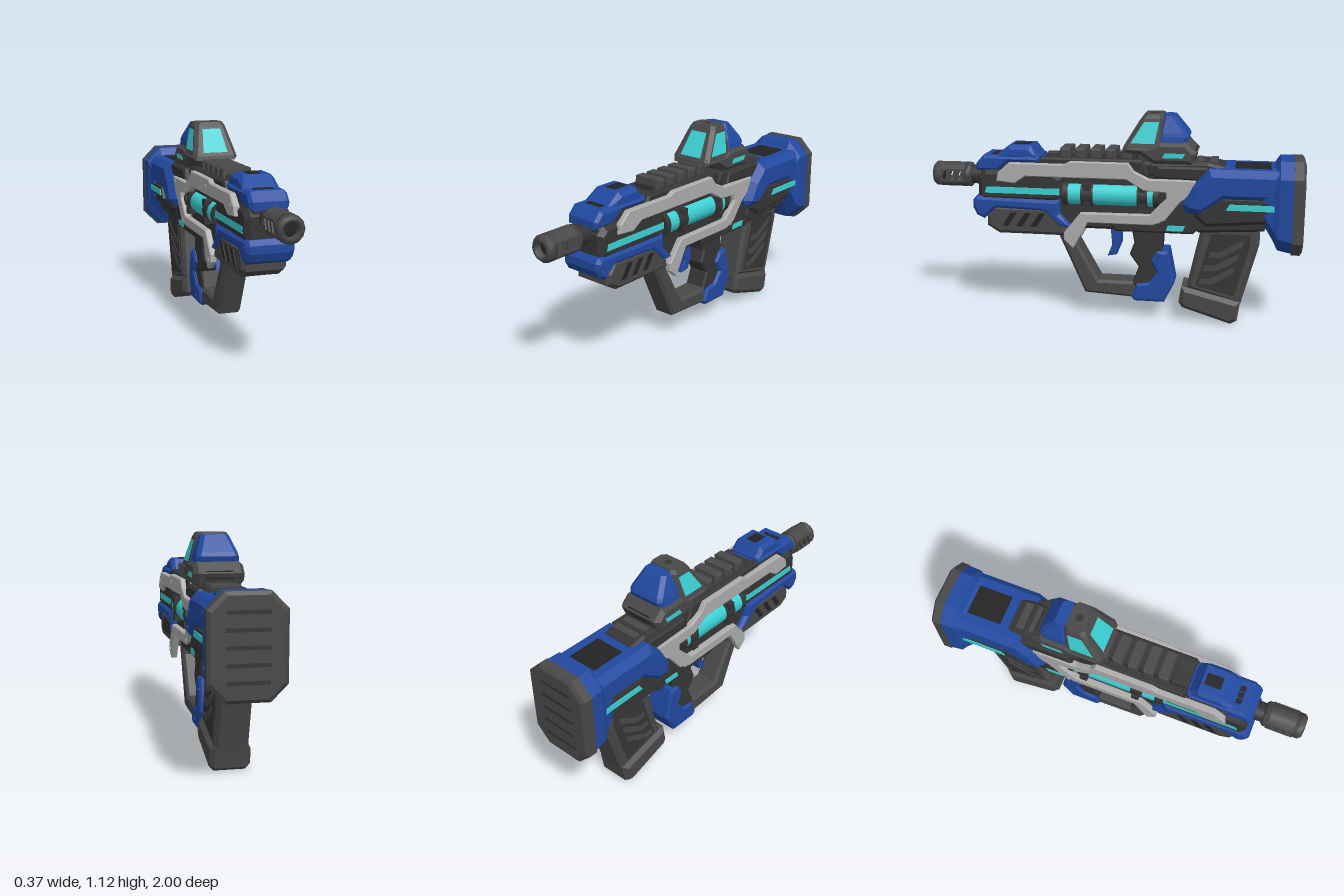
import * as THREE from 'three';

const mat = (name, hex, side = THREE.FrontSide) => {
  const m = new THREE.MeshStandardMaterial({ color: hex, side });
  m.name = name;
  return m;
};

export function createModel() {
  const blue = mat('blue', 0x2149a0), gun = mat('gunmetal', 0x484848, THREE.DoubleSide);
  const dark = mat('darkGrey', 0x353535), black = mat('black', 0x232323);
  const light = mat('lightGrey', 0xacacac), cyan = mat('cyan', 0x3cd0d4, THREE.DoubleSide);
  const root = new THREE.Group();
  root.name = 'toyBlaster';

  const add = (name, geo, m) => {
    const mesh = new THREE.Mesh(geo, m);
    mesh.name = name;
    root.add(mesh);
    return mesh;
  };
  const toPath = (pts, C = THREE.Shape) => new C(pts.map(p => new THREE.Vector2(p[0], p[1])));

  // Side outline of [z, y] points, extruded across x from x0 to x1 with chamfered edges
  const slab = (name, pts, x0, x1, m, bevel = 0.01, holes = []) => {
    const shape = toPath(pts);
    shape.holes = holes.map(h => toPath(h, THREE.Path));
    const geo = new THREE.ExtrudeGeometry(shape, {
      depth: x1 - x0 - 2 * bevel, bevelEnabled: bevel > 0, bevelThickness: bevel,
      bevelSize: bevel, bevelOffset: -bevel, bevelSegments: 1,
    });
    geo.rotateY(-Math.PI / 2).translate(x1 - bevel, 0, 0);
    return add(name, geo, m);
  };
  const centred = (name, pts, half, m, bevel) => slab(name, pts, -half, half, m, bevel);
  const paired = (name, pts, x0, x1, m, bevel, holes) => {
    slab(name + 'Left', pts, x0, x1, m, bevel, holes);
    slab(name + 'Right', pts, -x1, -x0, m, bevel, holes);
  };
  const rect = (z0, z1, y0, y1) => [[z0, y0], [z1, y0], [z1, y1], [z0, y1]];
  const slant = (z, y, w, h, s) => [[z, y], [z + w, y], [z + w + s, y + h], [z + s, y + h]];
  const box = (name, x0, x1, y0, y1, z0, z1, m) =>
    add(name, new THREE.BoxGeometry(x1 - x0, y1 - y0, z1 - z0)
      .translate((x0 + x1) / 2, (y0 + y1) / 2, (z0 + z1) / 2), m);

  // Chamfered rectangles [t, halfX, b0, b1, chamfer] joined along z or y
  const loft = (name, rings, axis, m) => {
    const pos = [], idx = [], n = 8;
    for (const [t, h, b0, b1, c] of rings) {
      const ring = [[h, b0 + c], [h, b1 - c], [h - c, b1], [c - h, b1],
        [-h, b1 - c], [-h, b0 + c], [c - h, b0], [h - c, b0]];
      for (const [a, b] of ring) pos.push(a, ...(axis === 'z' ? [b, t] : [t, b]));
    }
    const tri = (a, b, c) => (axis === 'z' ? idx.push(a, b, c) : idx.push(a, c, b));
    const last = (rings.length - 1) * n;
    for (let i = 0; i < last; i += n) for (let j = 0; j < n; j++) {
      const k = (j + 1) % n;
      tri(i + j, i + k, i + n + k);
      tri(i + j, i + n + k, i + n + j);
    }
    for (let j = 1; j < n - 1; j++) {
      tri(0, j + 1, j);
      tri(last, last + j, last + j + 1);
    }
    let g = new THREE.BufferGeometry();
    g.setAttribute('position', new THREE.Float32BufferAttribute(pos, 3));
    g.setIndex(idx);
    g = g.toNonIndexed();
    g.computeVertexNormals();
    return add(name, g, m);
  };
  const quad = (name, a, b, c, d, m) => {
    const g = new THREE.BufferGeometry();
    g.setAttribute('position', new THREE.Float32BufferAttribute([a, b, c, a, c, d].flat(), 3));
    g.computeVertexNormals();
    return add(name, g, m);
  };
  const rod = (name, r, x, y, z0, z1, m, seg = 16) =>
    add(name, new THREE.CylinderGeometry(r, r, z1 - z0, seg)
      .rotateX(Math.PI / 2).translate(x, y, (z0 + z1) / 2), m);

  // Barrel and slotted muzzle
  rod('barrelNeck', 0.052, 0, 0.76, 0.6, 0.815, dark, 12);
  const turned = (name, pts) => add(name, new THREE.LatheGeometry(
    pts.map(p => new THREE.Vector2(...p)), 12).rotateX(Math.PI / 2).translate(0, 0.76, 0), gun);
  turned('muzzleTip', [[0.038, 0.95], [0.068, 0.95], [0.068, 0.985], [0.055, 1], [0.038, 1], [0.038, 0.95]]);
  turned('muzzleCollar', [[0, 0.785], [0.056, 0.785], [0.068, 0.797], [0.068, 0.82], [0, 0.82]]);
  rod('bore', 0.042, 0, 0.76, 0.957, 0.965, black, 12);
  const arc = THREE.MathUtils.degToRad(64);
  [0, Math.PI].forEach((a, i) => add(i ? 'muzzleTop' : 'muzzleBottom',
    new THREE.CylinderGeometry(0.068, 0.068, 0.135, 6, 1, true, a - arc, 2 * arc)
      .rotateX(Math.PI / 2).translate(0, 0.76, 0.885), gun));
  paired('muzzleSide', rect(0.815, 0.955, 0.725, 0.795), 0.05, 0.064, gun, 0,
    [0, 1, 2].map(i => slant(0.91 - i * 0.043, 0.785, 0.022, -0.05, 0.018)));

  // Central body
  centred('bodyCore', [[0.72, 0.8], [0.66, 0.86], [0.25, 0.875], [-0.45, 0.87], [-0.5, 0.82],
    [-0.5, 0.55], [-0.42, 0.5], [0.28, 0.5], [0.35, 0.56], [0.72, 0.6]], 0.088, dark, 0.015);
  centred('frontHousing', [[0.73, 0.66], [0.73, 0.77], [0.69, 0.81], [0.3, 0.81], [0.27, 0.77],
    [0.27, 0.68], [0.3, 0.64], [0.7, 0.64]], 0.115, dark, 0.025);
  paired('rearHousing', [[-0.3, 0.72], [-0.44, 0.76], [-0.56, 0.7], [-0.5, 0.56], [-0.43, 0.5],
    [-0.02, 0.5], [0.02, 0.56], [-0.2, 0.58]], 0.08, 0.118, dark);
  paired('upperRail', [[0.4, 0.85], [0.38, 0.885], [-0.16, 0.885], [-0.2, 0.8], [-0.1, 0.79], [0.4, 0.79]],
    0.06, 0.108, dark);

  // Front upper shroud
  centred('upperShroud', [[0.74, 0.8], [0.74, 0.84], [0.7, 0.885], [0.39, 0.885], [0.39, 0.85],
    [0.56, 0.85], [0.62, 0.8]], 0.1, blue, 0.016);
  centred('shroudHump', [[0.65, 0.87], [0.56, 0.94], [0.44, 0.94], [0.385, 0.87]], 0.092, blue, 0.022);
  box('shroudVent', -0.032, 0.032, 0.936, 0.943, 0.455, 0.54, black);
  for (const x of [-0.035, 0, 0.035]) box('shroudSlot', x - 0.014, x + 0.014, 0.88, 0.889, 0.63, 0.66, black);

  // Front lower shroud and handguard
  centred('lowerShroud', [[0.76, 0.6], [0.76, 0.64], [0.74, 0.665], [0.28, 0.655], [0.28, 0.58],
    [0.21, 0.51], [0.29, 0.51], [0.37, 0.59], [0.63, 0.6], [0.7, 0.54], [0.74, 0.56]], 0.122, blue, 0.018);
  centred('handguard', [[0.685, 0.5], [0.685, 0.56], [0.64, 0.615], [0.34, 0.615], [0.25, 0.53],
    [0.24, 0.46], [0.62, 0.46]], 0.114, gun, 0.02);
  for (let i = 0; i < 3; i++)
    paired('handguardSlot', slant(0.565 - i * 0.078, 0.505, 0.034, 0.075, -0.05), 0.11, 0.117, black, 0);

  // Glowing strips
  paired('frontStrip', [[0.69, 0.685], [0.68, 0.72], [0.28, 0.72], [0.28, 0.685]], 0.11, 0.1165, cyan, 0);
  paired('lowerStrip', [[-0.29, 0.515], [-0.3, 0.545], [-0.39, 0.545], [-0.38, 0.515]], 0.115, 0.1205, cyan, 0);

  // Energy cell on each side with dark clamps
  for (const s of [-1, 1]) {
    rod('energyCell', 0.063, s * 0.06, 0.69, -0.24, 0.26, cyan, 20);
    for (const [z0, z1, r] of [[0.235, 0.265, 0.068], [0.1, 0.165, 0.071], [-0.19, -0.135, 0.071], [-0.25, -0.22, 0.068]])
      rod('cellClamp', r, s * 0.06, 0.69, z0, z1, dark, 12);
    for (const z of [0.13, -0.163])
      for (const y of [0.64, 0.735]) box('clampLug', s * 0.11 - 0.022, s * 0.11 + 0.022, y - 0.018, y + 0.018, z - 0.02, z + 0.02, dark);
  }

  // Light side frames
  paired('sideFrame', [[0.62, 0.755], [0.61, 0.8], [0.55, 0.855], [0.25, 0.855], [0.22, 0.872], [-0.09, 0.872],
    [-0.12, 0.83], [-0.2, 0.79], [-0.44, 0.79], [-0.455, 0.745], [-0.36, 0.67], [-0.285, 0.572], [-0.22, 0.545],
    [0.125, 0.545], [0.205, 0.4], [0.255, 0.445], [0.255, 0.485], [0.165, 0.597], [-0.205, 0.6], [-0.29, 0.69],
    [-0.29, 0.722], [-0.17, 0.73], [-0.08, 0.785], [0.46, 0.785], [0.52, 0.745]], 0.1, 0.135, light, 0.005);

  // Top accessory rail
  box('railBase', -0.06, 0.06, 0.86, 0.9, -0.12, 0.3, dark);
  for (let i = 0; i < 5; i++) {
    const z = 0.255 - i * 0.082;
    centred('railRib', [[z - 0.03, 0.88], [z + 0.03, 0.88], [z + 0.026, 0.932], [z - 0.026, 0.932]], 0.078, gun, 0.007);
  }
  centred('rearDeck', [[-0.18, 0.8], [-0.2, 0.87], [-0.5, 0.88], [-0.59, 0.86], [-0.59, 0.8]], 0.1, dark, 0.015);
  for (const z of [-0.46, -0.53]) box('deckBar', -0.075, 0.075, 0.87, 0.885, z - 0.02, z + 0.02, gun);
  paired('deckLug', [[-0.22, 0.8], [-0.24, 0.86], [-0.5, 0.86], [-0.52, 0.82], [-0.47, 0.79]], 0.09, 0.132, dark);

  // Sight
  centred('sightBase', [[-0.06, 0.925], [-0.07, 0.965], [-0.2, 0.965], [-0.25, 0.985], [-0.39, 0.985], [-0.445, 0.93],
    [-0.42, 0.87], [-0.22, 0.87], [-0.15, 0.915]], 0.128, gun, 0.022);
  paired('sightStrip', [[-0.265, 0.905], [-0.28, 0.93], [-0.385, 0.93], [-0.37, 0.905]], 0.124, 0.1295, cyan, 0);
  loft('sightHood', [[0.95, 0.122, -0.27, -0.058, 0.02], [1.1, 0.087, -0.27, -0.15, 0.02],
    [1.122, 0.075, -0.265, -0.166, 0.02]], 'y', gun);
  quad('sightFrontLens', [-0.068, 0.967, -0.066], [0.068, 0.967, -0.066],
    [0.05, 1.088, -0.14], [-0.05, 1.088, -0.14], cyan);
  for (const s of [-1, 1])
    quad('sightSideLens', [s * 0.1185, 0.975, -0.1], [s * 0.1185, 0.975, -0.225],
      [s * 0.0928, 1.085, -0.245], [s * 0.0928, 1.085, -0.168], cyan);
  loft('sightCowl', [[0.965, 0.112, -0.385, -0.235, 0.02], [1.01, 0.107, -0.4, -0.245, 0.02],
    [1.03, 0.102, -0.39, -0.245, 0.02], [1.115, 0.07, -0.325, -0.26, 0.02]], 'y', blue);
  add('sightDial', new THREE.CylinderGeometry(0.02, 0.02, 0.008, 12).translate(0, 1.12, -0.215), dark);
  for (const y of [0.9, 0.93]) box('sightRearGroove', -0.07, 0.07, y, y + 0.012, -0.438, -0.432, black);

  // Stock
  centred('stockUpper', [[-0.43, 0.77], [-0.51, 0.855], [-0.88, 0.855], [-0.88, 0.69], [-0.59, 0.69],
    [-0.48, 0.61], [-0.39, 0.625], [-0.375, 0.665]], 0.168, blue, 0.036);
  centred('stockCore', [[-0.44, 0.72], [-0.86, 0.72], [-0.86, 0.58], [-0.5, 0.55], [-0.44, 0.6]], 0.148, dark, 0.02);
  paired('stockStrip', [[-0.6, 0.65], [-0.62, 0.682], [-0.86, 0.682], [-0.845, 0.65]], 0.14, 0.1685, cyan, 0);
  paired('stockStripBed', [[-0.57, 0.635], [-0.6, 0.695], [-0.86, 0.695], [-0.85, 0.635]], 0.14, 0.164, dark, 0);
  loft('stockRear', [[-0.945, 0.182, 0.415, 0.9, 0.08], [-0.87, 0.178, 0.43, 0.9, 0.08],
    [-0.845, 0.168, 0.48, 0.86, 0.07], [-0.795, 0.162, 0.565, 0.85, 0.06]], 'z', blue);
  loft('stockPad', [[-0.998, 0.168, 0.425, 0.885, 0.075], [-0.985, 0.185, 0.408, 0.902, 0.08],
    [-0.94, 0.185, 0.408, 0.902, 0.08]], 'z', gun);
  for (let i = 0; i < 5; i++) {
    const y = 0.5 + i * 0.078;
    box('padGroove', -0.1, 0.1, y - 0.009, y + 0.009, -1, -0.995, dark);
  }
  for (const x of [-0.1, 0.1]) for (const y of [0.46, 0.85]) rod('padBolt', 0.013, x, y, -1, -0.99, gun, 8);
  box('stockTopVent', -0.082, 0.082, 0.85, 0.858, -0.825, -0.64, black);

  // Grip loop, pistol grip and trigger
  centred('gripLoop', [[0.31, 0.48], [0.155, 0.13], [-0.12, 0.115], [-0.12, 0.205], [0.08, 0.205],
    [0.2, 0.42], [0.2, 0.5], [0.3, 0.5]], 0.068, gun, 0.015);
  centred('pistolGrip', [[-0.1, 0.51], [-0.27, 0.51], [-0.265, 0.385], [-0.25, 0.33], [-0.265, 0.265], [-0.23, 0.18],
    [-0.1, 0.185], [-0.14, 0.29], [-0.09, 0.36], [-0.115, 0.425]], 0.062, dark, 0.01);
  centred('gripShell', [[-0.1, 0.125], [-0.12, 0.1], [-0.28, 0.1], [-0.335, 0.21], [-0.3, 0.385], [-0.24, 0.385],
    [-0.205, 0.33], [-0.24, 0.265], [-0.195, 0.205], [-0.13, 0.195]], 0.078, blue, 0.012);
  centred('trigger', [[0.02, 0.51], [-0.04, 0.51], [-0.042, 0.41], [-0.015, 0.345], [0.035, 0.335], [0.01, 0.4]], 0.03, blue, 0.005);

  // Magazine
  centred('magazineWell', [[-0.4, 0.56], [-0.46, 0.51], [-0.8, 0.53], [-0.82, 0.6], [-0.44, 0.62]], 0.12, dark, 0.015);
  centred('magazine', [[-0.48, 0.56], [-0.78, 0.56], [-0.78, 0.45], [-0.69, 0.11], [-0.4, 0.19]], 0.085, gun, 0.02);
  centred('magazineBase', [[-0.375, 0.2], [-0.69, 0.125], [-0.675, 0.02], [-0.64, 0], [-0.38, 0.08], [-0.36, 0.11]], 0.1, gun, 0.022);
  paired('magazinePanel', [[-0.53, 0.5], [-0.73, 0.5], [-0.73, 0.44], [-0.655, 0.16], [-0.45, 0.21]], 0.08, 0.088, dark, 0);
  for (let i = 0; i < 3; i++)
    paired('magazineRib', [[-0.52 + i * 0.025, 0.4 - i * 0.075], [-0.57 + i * 0.025, 0.4 - i * 0.075],
      [-0.7 + i * 0.022, 0.475 - i * 0.075], [-0.69 + i * 0.022, 0.435 - i * 0.075],
      [-0.58 + i * 0.025, 0.37 - i * 0.075], [-0.52 + i * 0.025, 0.37 - i * 0.075]], 0.08, 0.091, gun, 0);

  // Bolts on both sides: [z, y, x, material]
  for (const [z, y, x, m] of [[0.57, 0.8, 0.135, light], [0.18, 0.83, 0.135, light], [-0.4, 0.765, 0.135, light],
    [-0.25, 0.57, 0.135, light], [0.22, 0.45, 0.135, light], [0.71, 0.62, 0.122, blue], [0.32, 0.62, 0.122, blue],
    [-0.5, 0.76, 0.168, blue], [-0.82, 0.79, 0.168, blue], [-0.47, 0.67, 0.168, blue], [-0.9, 0.55, 0.18, blue],
    [-0.29, 0.32, 0.078, blue], [-0.18, 0.14, 0.078, blue], [-0.4, 0.14, 0.1, gun]])
    for (const s of [-1, 1])
      add('bolt', new THREE.CylinderGeometry(0.012, 0.012, 0.008, 8).rotateZ(Math.PI / 2).translate(s * x, y, z), m);

  return root;
}
